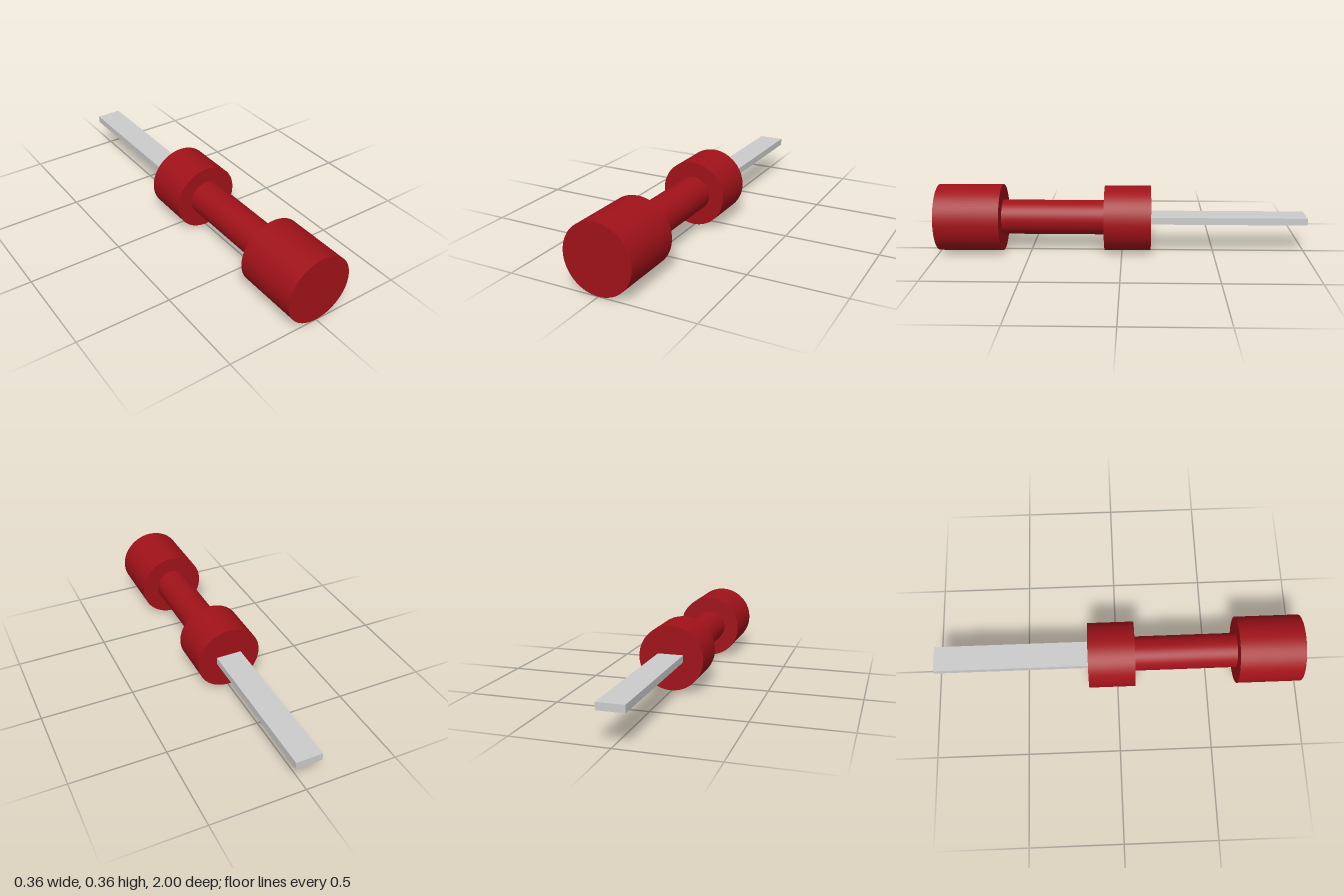
import * as THREE from 'three';

const AXIS_Y = 0.182;

export function createModel() {
  const group = new THREE.Group();
  const red = new THREE.MeshStandardMaterial({ color: 0xa01219 });
  const grey = new THREE.MeshStandardMaterial({ color: 0xcccccc });

  const add = (name, geometry, material, x, y, zBack, zFront) => {
    const mesh = new THREE.Mesh(geometry, material);
    mesh.name = name;
    mesh.position.set(x, y, (zBack + zFront) / 2);
    group.add(mesh);
  };

  // Round section lying along z
  const round = (name, radius, zBack, zFront, x = 0, y = AXIS_Y) => {
    const geometry = new THREE.CylinderGeometry(radius, radius, zFront - zBack, 64);
    add(name, geometry.rotateX(Math.PI / 2), red, x, y, zBack, zFront);
  };

  // Handle: thick end knob, slim grip and front collar
  round('endKnob', 0.182, 0.65, 1);
  round('grip', 0.094, 0.09, 0.655, -0.002, 0.185);
  round('collar', 0.177, -0.157, 0.094, -0.002, 0.183);

  // Flat blade
  add('blade', new THREE.BoxGeometry(0.14, 0.038, 0.85), grey, 0, 0.186, -1, -0.15);

  return group;
}
